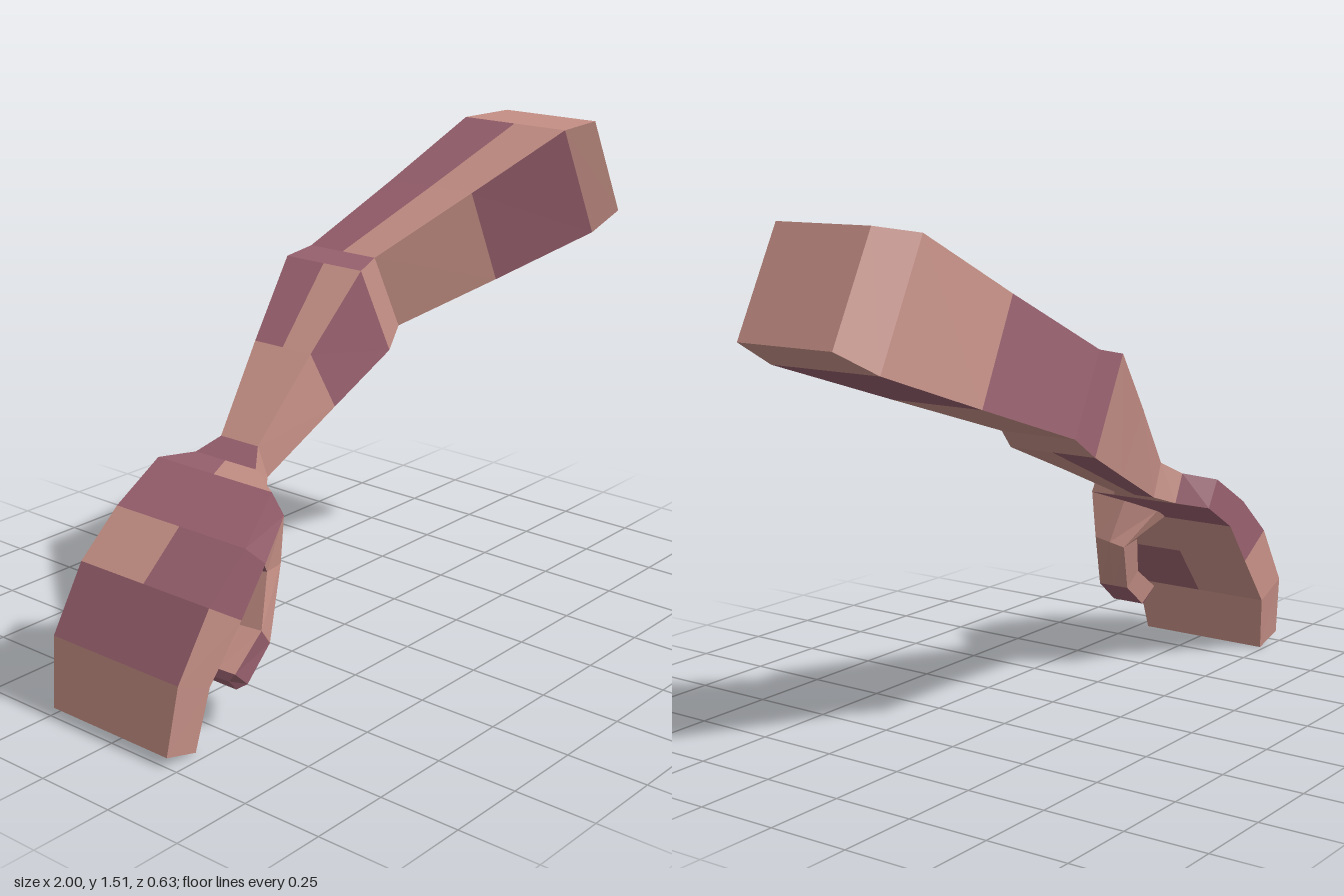
import * as THREE from 'three';

const skin = new THREE.MeshStandardMaterial({ color: 0xc79187 });
skin.name = 'skin';
const mauve = new THREE.MeshStandardMaterial({ color: 0x99616f });
mauve.name = 'mauve patch';

const V = (x, y, z) => new THREE.Vector3(x, y, z);
const mid = (a, b) => a.clone().add(b).multiplyScalar(0.5);

// Six-point ring from four corners: top front, top back, bottom back, bottom front
const ring = (tf, tb, bb, bf) => [tf, mid(tf, tb), tb, bb, mid(bb, bf), bf];

// Ring from its top and bottom edges (x, y) and its z range
const section = (tx, ty, bx, by, zf, zb) =>
  ring(V(tx, ty, zf), V(tx, ty, zb), V(bx, by, zb), V(bx, by, zf));

// Faceted loft. Each segment has a colour code for its six faces:
// top front, top back, back, bottom back, bottom front, front
function loft(name, rings, codes, startCap, endCap) {
  const tris = { s: [], p: [] };
  const tri = (c, ...pts) => pts.forEach(v => tris[c].push(v.x, v.y, v.z));
  codes.forEach((code, i) => {
    const a = rings[i], b = rings[i + 1];
    for (let k = 0; k < 6; k++) {
      const n = (k + 1) % 6;
      tri(code[k], a[k], a[n], b[n]);
      tri(code[k], a[k], b[n], b[k]);
    }
  });
  for (let k = 1; k < 5; k++) {
    const a = rings[0], b = rings[rings.length - 1];
    if (startCap) tri(startCap, a[0], a[k + 1], a[k]);
    if (endCap) tri(endCap, b[0], b[k], b[k + 1]);
  }
  const g = new THREE.BufferGeometry();
  g.setAttribute('position', new THREE.Float32BufferAttribute([...tris.s, ...tris.p], 3));
  g.addGroup(0, tris.s.length / 3, 0);
  g.addGroup(tris.s.length / 3, tris.p.length / 3, 1);
  g.computeVertexNormals();
  const mesh = new THREE.Mesh(g, [skin, mauve]);
  mesh.name = name;
  return mesh;
}

export function createModel() {
  const model = new THREE.Group();
  model.name = 'arm';

  // Shoulder end down to the elbow
  const elbow = section(0.10, 1.12, 0.24, 0.84, -0.02, -0.315);
  model.add(loft('upperArm', [
    section(0.84, 1.51, 1.0, 1.20, 0.315, -0.02),
    section(0.74, 1.49, 0.92, 1.135, 0.27, -0.11),
    section(0.47, 1.315, 0.61, 1.015, 0.115, -0.20),
    section(0.19, 1.14, 0.31, 0.90, -0.04, -0.295),
    elbow,
  ], ['ssssss', 'spsppp', 'sppsss', 'pppsss'], 's', null));

  // Elbow to the narrow wrist
  const wrist = section(-0.40, 0.705, -0.36, 0.60, 0.01, -0.135);
  model.add(loft('forearm', [
    elbow,
    section(-0.15, 0.92, -0.04, 0.73, -0.005, -0.225),
    wrist,
  ], ['spspsp', 'ssspss'], null, null));

  // Flared wrist, palm and joined, curled fingers
  model.add(loft('hand', [
    wrist,
    section(-0.465, 0.665, -0.425, 0.575, 0.06, -0.175),
    section(-0.53, 0.645, -0.48, 0.56, 0.18, -0.265),
    section(-0.70, 0.545, -0.62, 0.475, 0.235, -0.265),
    section(-0.845, 0.42, -0.72, 0.34, 0.235, -0.265),
    section(-0.96, 0.23, -0.84, 0.18, 0.225, -0.265),
    section(-1.0, 0.03, -0.89, 0, 0.215, -0.235),
  ], ['ppssss', 'sppsss', 'pppppp', 'pspssp', 'ppssps', 'ssssss'], null, 'p'));

  // Thumb hanging from the palm, its inner side facing the fingers
  model.add(loft('thumb', [
    ring(V(-0.62, 0.48, 0.225), V(-0.62, 0.48, -0.02), V(-0.565, 0.505, -0.02), V(-0.48, 0.565, 0.18)),
    ring(V(-0.565, 0.42, 0.19), V(-0.57, 0.40, 0.06), V(-0.475, 0.39, 0.05), V(-0.48, 0.41, 0.165)),
    ring(V(-0.64, 0.28, 0.235), V(-0.64, 0.27, 0.10), V(-0.59, 0.22, 0.11), V(-0.59, 0.22, 0.22)),
    ring(V(-0.76, 0.195, 0.245), V(-0.76, 0.19, 0.11), V(-0.70, 0.14, 0.12), V(-0.70, 0.14, 0.235)),
    ring(V(-0.765, 0.17, 0.225), V(-0.765, 0.165, 0.13), V(-0.73, 0.13, 0.135), V(-0.73, 0.13, 0.22)),
  ], ['ppssss', 'ssssss', 'sssppp', 'pppppp'], null, 'p'));

  return model;
}
